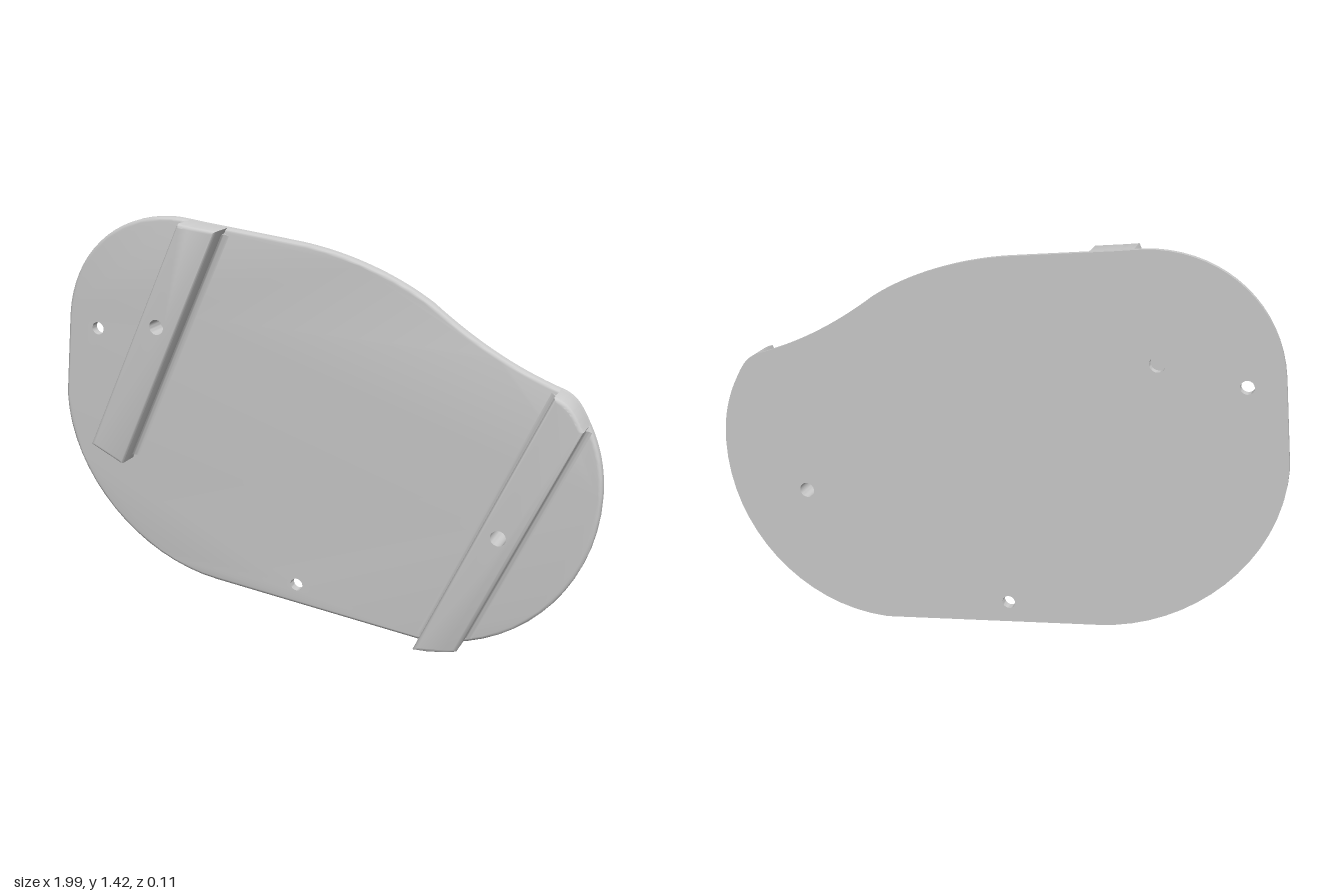
import * as THREE from 'three';
import { toCreasedNormals } from 'three/addons/utils/BufferGeometryUtils.js';

const BACK = -0.06, FACE = -0.03, RIB_TOP = 0.055, EDGE = 0.012;
const V = (x, y) => new THREE.Vector2(x, y);
const material = new THREE.MeshStandardMaterial({ color: 0xcccccc });

// Plate silhouette, returned counter-clockwise
function outline() {
  const s = new THREE.Shape();
  s.moveTo(-0.54, 1.42);
  s.bezierCurveTo(-0.5, 1.42, -0.46, 1.413, -0.42, 1.408);
  s.lineTo(-0.06, 1.367);
  s.bezierCurveTo(0.11, 1.345, 0.28, 1.285, 0.41, 1.2);
  s.bezierCurveTo(0.54, 1.1, 0.68, 1.015, 0.85, 0.96);
  s.bezierCurveTo(0.89, 0.945, 0.91, 0.915, 0.935, 0.865);
  s.bezierCurveTo(0.975, 0.79, 0.995, 0.71, 0.995, 0.62);
  s.bezierCurveTo(0.995, 0.28, 0.73, 0, 0.39, 0.003);
  s.lineTo(-0.39, 0.09);
  s.bezierCurveTo(-0.72, 0.125, -1, 0.42, -0.998, 0.74);
  s.lineTo(-0.967, 1.04);
  s.bezierCurveTo(-0.94, 1.27, -0.76, 1.42, -0.54, 1.42);
  return tidy(s.getPoints(16).reverse());
}

// Drop points that (nearly) repeat their predecessor
function tidy(pts) {
  return pts.filter((p, i) => p.distanceTo(pts[(i + pts.length - 1) % pts.length]) > 0.002);
}

// Keep the part of a polygon on the left of the line a -> b
function clip(pts, [a, b]) {
  const side = (p) => (b.x - a.x) * (p.y - a.y) - (b.y - a.y) * (p.x - a.x);
  const out = [];
  pts.forEach((p, i) => {
    const q = pts[(i + 1) % pts.length], sp = side(p), sq = side(q);
    if (sp >= 0) out.push(p);
    if (sp * sq < 0) out.push(p.clone().lerp(q, sp / (sp - sq)));
  });
  return tidy(out);
}

// Shrink a counter-clockwise polygon by d
function inset(pts, d) {
  const n = pts.length;
  const normal = (p, q) => V(p.y - q.y, q.x - p.x).normalize();
  return pts.map((p, i) => {
    const n1 = normal(pts[(i + n - 1) % n], p), n2 = normal(p, pts[(i + 1) % n]);
    return p.clone().addScaledVector(n1.clone().add(n2), d / Math.max(0.4, 1 + n1.dot(n2)));
  });
}

// Clockwise ring for a round hole
function ring([x, y, r], n = 28) {
  return Array.from({ length: n }, (_, i) => {
    const a = (-i / n) * Math.PI * 2;
    return V(x + r * Math.cos(a), y + r * Math.sin(a));
  });
}

// Slab with square back, rounded front edge and straight holes
function slab(name, pts, holeList, z0, z1) {
  const pos = [];
  const put = (p, z) => pos.push(p.x, p.y, z);
  const wall = (lo, zl, hi, zh) => lo.forEach((p, i) => {
    const j = (i + 1) % lo.length;
    put(p, zl); put(lo[j], zl); put(hi[j], zh);
    put(p, zl); put(hi[j], zh); put(hi[i], zh);
  });
  const holes = holeList.map((h) => ring(h));
  const cap = (contour, z, flip) => {
    const all = [contour, ...holes].flat();
    for (const [a, b, c] of THREE.ShapeUtils.triangulateShape(contour, holes))
      (flip ? [a, c, b] : [a, b, c]).forEach((k) => put(all[k], z));
  };
  let last = pts, z = z0;
  for (let k = 0; k <= 3; k++) {
    const t = (k / 3) * Math.PI / 2;
    const next = inset(pts, EDGE * (1 - Math.cos(t))), zn = z1 - EDGE * (1 - Math.sin(t));
    wall(last, z, next, zn);
    last = next; z = zn;
  }
  holes.forEach((h) => wall(h, z0, h, z1));
  cap(pts, z0, true);
  cap(last, z1, false);
  const g = new THREE.BufferGeometry();
  g.setAttribute('position', new THREE.Float32BufferAttribute(pos, 3));
  const mesh = new THREE.Mesh(toCreasedNormals(g, 0.7), material);
  mesh.name = name;
  return mesh;
}

// Concave fillet where a rib side meets the plate
function fillet([a, b], r = 0.02, trim = 0.018) {
  const d = b.clone().sub(a), len = d.length() - 2 * trim;
  d.normalize();
  const s = new THREE.Shape();
  s.moveTo(0, 0);
  s.lineTo(r, 0);
  s.quadraticCurveTo(r * 0.1, r * 0.1, 0, r);
  const g = new THREE.ExtrudeGeometry(s, { depth: len, bevelEnabled: false, curveSegments: 5 });
  g.applyMatrix4(new THREE.Matrix4().makeBasis(
    new THREE.Vector3(d.y, -d.x, 0), new THREE.Vector3(0, 0, 1), new THREE.Vector3(-d.x, -d.y, 0)));
  g.translate(b.x - d.x * trim, b.y - d.y * trim, FACE);
  const mesh = new THREE.Mesh(toCreasedNormals(g, 0.7), material);
  mesh.name = 'ribFillet';
  return mesh;
}

// Rib: the strip of the silhouette between its side lines
function rib(name, silhouette, lines, hole) {
  const group = new THREE.Group();
  group.name = name;
  group.add(slab(name + 'Body', lines.reduce(clip, silhouette), [hole], FACE - 0.015, RIB_TOP));
  lines.forEach((l) => group.add(fillet(l)));
  return group;
}

export function createModel() {
  const model = new THREE.Group();
  model.name = 'mountingPlate';
  const silhouette = outline();
  const rightHole = [-0.56, 1.05, 0.027], leftHole = [0.685, 0.465, 0.027];
  const smallHoles = [[-0.848, 1.0, 0.023], [-0.07, 0.13, 0.023]];

  model.add(slab('plate', silhouette, [...smallHoles, rightHole, leftHole], BACK, FACE));

  // Short rib, closed at its lower end
  model.add(rib('rightRib', silhouette, [
    [V(-0.725, 0.525), V(-0.325, 1.395)],
    [V(-0.47, 1.41), V(-0.85, 0.585)],
    [V(-0.85, 0.585), V(-0.725, 0.525)],
  ], rightHole));

  // Long rib, running from edge to edge
  model.add(rib('leftRib', silhouette, [
    [V(0.56, 0.035), V(0.94, 0.86)],
    [V(0.84, 0.96), V(0.4, 0.005)],
  ], leftHole));

  // Thin web closing the short rib's hole
  const web = new THREE.Mesh(new THREE.CylinderGeometry(0.028, 0.028, 0.01, 28), material);
  web.name = 'holeWeb';
  web.rotation.x = Math.PI / 2;
  web.position.set(rightHole[0], rightHole[1], FACE);
  model.add(web);

  return model;
}
